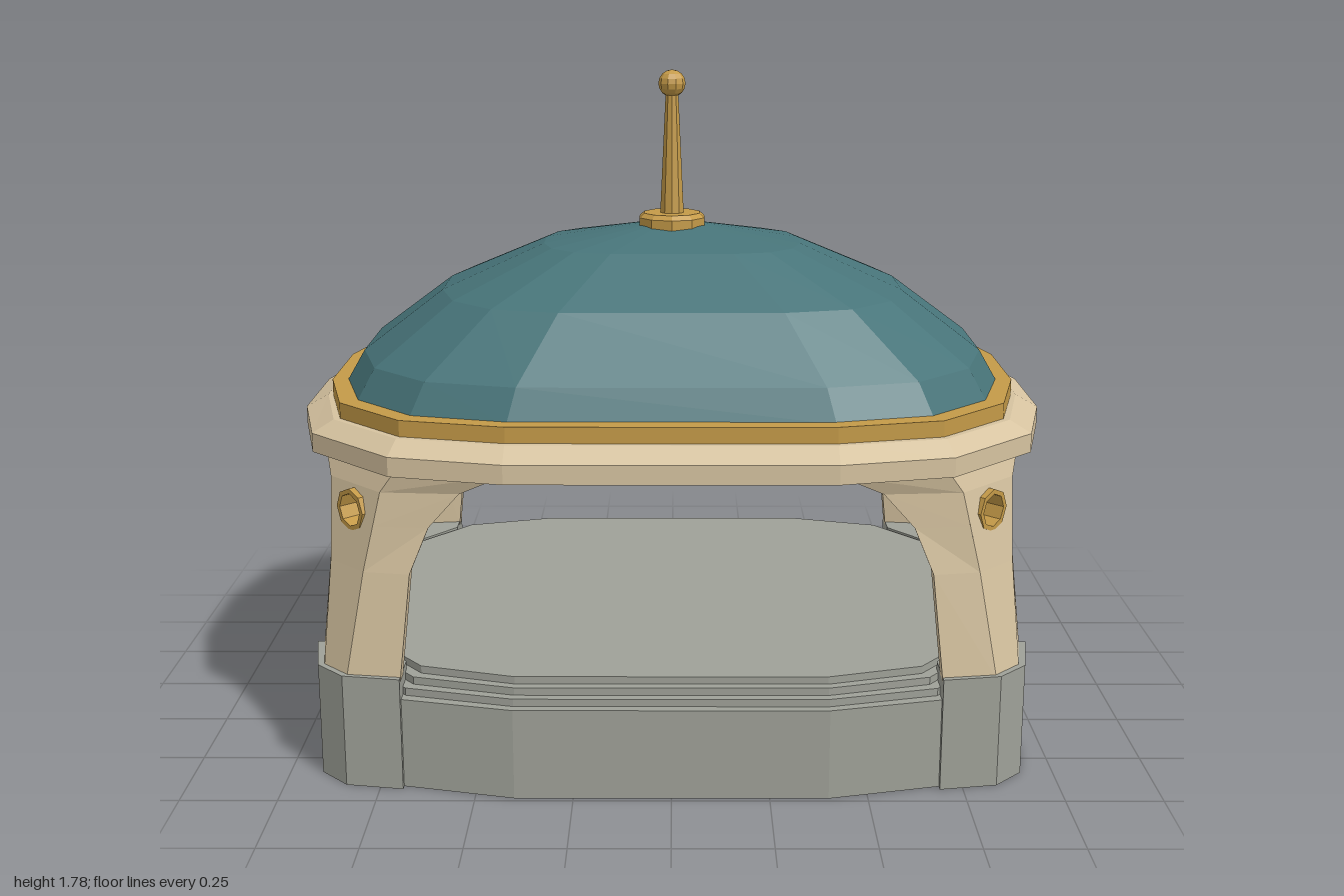
import * as THREE from 'three';

const mat = (name, color) => Object.assign(new THREE.MeshStandardMaterial({ color }), { name });

// Flat-shaded geometry from a list of [x, y, z] corners
function facets(corners) {
  const g = new THREE.BufferGeometry();
  g.setAttribute('position', new THREE.Float32BufferAttribute(corners.flat(), 3));
  g.computeVertexNormals();
  return g;
}

function flat(g) {
  const f = g.index ? g.toNonIndexed() : g;
  f.computeVertexNormals();
  return f;
}

// Full plan loop from the [x, z] points of one quarter (front side to flank)
function plan(q) {
  const r = [...q].reverse();
  const m = (pts, sx, sz) => pts.map(([x, z]) => [x * sx, z * sz]);
  return [...m(r, 1, 1), ...m(q, -1, 1), ...m(r, -1, -1), ...m(q, 1, -1)];
}

// Joins stacked loops of [x, z] points; rings are [y, loop]
function loft(rings, capped = true, skip = () => false) {
  const out = [];
  const at = ([y, pts], i) => [pts[i % pts.length][0], y, pts[i % pts.length][1]];
  const n = rings[0][1].length;
  for (let k = 0; k < rings.length - 1; k++) {
    for (let i = 0; i < n; i++) {
      if (skip(k, i)) continue;
      const a = at(rings[k], i), b = at(rings[k + 1], i);
      const c = at(rings[k + 1], i + 1), d = at(rings[k], i + 1);
      out.push(a, b, c, a, c, d);
    }
  }
  if (capped) {
    const lo = rings[0], hi = rings[rings.length - 1];
    const mid = ([y, pts]) => [
      pts.reduce((s, p) => s + p[0], 0) / n, y, pts.reduce((s, p) => s + p[1], 0) / n];
    for (let i = 0; i < n; i++) {
      out.push(mid(hi), at(hi, i + 1), at(hi, i));
      out.push(mid(lo), at(lo, i), at(lo, i + 1));
    }
  }
  return facets(out);
}

// Mirrored copy of a flat geometry, with the winding kept outward
function mirrored(g, sx, sz) {
  const p = g.attributes.position, out = [];
  for (let i = 0; i < p.count; i += 3) {
    const order = sx * sz < 0 ? [i, i + 2, i + 1] : [i, i + 1, i + 2];
    for (const j of order) out.push([p.getX(j) * sx, p.getY(j), p.getZ(j) * sz]);
  }
  return facets(out);
}

// Pillar levels: y, arch edge A, flank edge D, diagonal facet centre x and half width
const LEVELS = [
  { y: 0.29, A: [0.69, 0.67], D: [0.93, 0.42], m: 0.865, h: 0.035 },
  { y: 0.57, A: [0.66, 0.65], D: [0.903, 0.395], m: 0.83, h: 0.05 },
  { y: 0.69, A: [0.61, 0.64], D: [0.89, 0.355], m: 0.8157, h: 0.0643 },
  { y: 0.78, A: [0.53, 0.645], D: [0.893, 0.28], m: 0.805, h: 0.075 },
  { y: 0.837, A: [0.41, 0.675], D: [0.925, 0.155], m: 0.7925, h: 0.1025 },
];
const OFF = 0.25;    // x - z along the pillar's diagonal
const HOLE_Y = 0.715;

function pillarSection({ y, A, D, m, h }) {
  const B = [m - h, m - OFF + h], C = [m + h, m - OFF - h];
  return [y, [D, C, B, A,
    [A[0], A[1] - 0.05], [B[0] - 0.02, B[1] - 0.045],
    [C[0] - 0.045, C[1] - 0.02], [D[0] - 0.05, D[1]]]];
}

// Diagonal facet pierced by an octagonal hole
function piercedPanel(inner) {
  const lo = LEVELS[1], hi = LEVELS[3];
  const dm = inner ? -0.0325 : 0, dh = inner ? -0.0125 : 0;
  const a = lo.h + dh, b = hi.h + dh;
  const shape = new THREE.Shape([[-a, lo.y], [a, lo.y], [b, hi.y], [-b, hi.y]]
    .map(p => new THREE.Vector2(...p)));
  const hole = [];
  for (let i = 0; i < 8; i++) {
    const t = i * Math.PI / 4;
    hole.push(new THREE.Vector2(0.049 * Math.SQRT1_2 * Math.sin(t), HOLE_Y + 0.049 * Math.cos(t)));
  }
  shape.holes.push(new THREE.Path(hole));
  const p = new THREE.ShapeGeometry(shape).toNonIndexed().attributes.position;
  const out = [];
  for (let i = 0; i < p.count; i += 3) {
    for (const j of inner ? [i, i + 2, i + 1] : [i, i + 1, i + 2]) {
      const s = p.getX(j), y = p.getY(j);
      const m = lo.m + (hi.m - lo.m) * (y - lo.y) / (hi.y - lo.y) + dm;
      out.push([m + s, y, m - OFF - s]);
    }
  }
  return facets(out);
}

export function createModel() {
  const model = new THREE.Group();
  model.name = 'pavilion';
  const stone = mat('greyStone', 0x9fa198);
  const sand = mat('sandstone', 0xd6c3a0);
  const gold = mat('gold', 0xc49a48);
  const teal = mat('tealRoof', 0x477479);
  const add = (name, geo, material, parent = model) => {
    const mesh = new THREE.Mesh(geo, material);
    mesh.name = name;
    parent.add(mesh);
    return mesh;
  };

  // Platform with three shallow steps
  const platform = d => plan([[0.40, 0.736 - d], [0.70 - d * 0.7, 0.665 - d],
    [0.89 - d, 0.44 - d * 0.7], [0.935 - d, 0.16]]);
  const steps = [];
  [0.24, 0.26, 0.28, 0.30].forEach((y, i) => {
    const loop = platform(i * 0.025);
    steps.push([i ? y - 0.02 : 0, loop], [y, loop]);
  });
  add('platform', loft(steps), stone);

  // Four corner pedestals and pierced pillars
  const foot = [[0.947, 0.422], [0.915, 0.585], [0.84, 0.66], [0.69, 0.685], [0.69, 0.56], [0.80, 0.422]];
  const pedestal = loft([[0, foot], [0.301, foot]]);
  const shaft = loft(LEVELS.map(pillarSection), false,
    (k, i) => (k === 1 || k === 2) && (i === 1 || i === 5));
  const outerPanel = piercedPanel(false), innerPanel = piercedPanel(true);

  // Gold sleeve lining the hole
  const sleeve = new THREE.LatheGeometry([[0.043, -0.031], [0.056, -0.031], [0.056, 0.031],
    [0.043, 0.031], [0.043, -0.031]].map(p => new THREE.Vector2(...p)), 8);
  sleeve.rotateX(Math.PI / 2).rotateY(Math.PI / 4).translate(0.797, HOLE_Y, 0.547);
  const ring = flat(sleeve);

  for (const sx of [1, -1]) {
    for (const sz of [1, -1]) {
      const corner = new THREE.Group();
      corner.name = (sz > 0 ? 'front' : 'back') + (sx > 0 ? 'Left' : 'Right') + 'Pillar';
      model.add(corner);
      add('pedestal', mirrored(pedestal, sx, sz), stone, corner);
      add('shaft', mirrored(shaft, sx, sz), sand, corner);
      add('outerPanel', mirrored(outerPanel, sx, sz), sand, corner);
      add('innerPanel', mirrored(innerPanel, sx, sz), sand, corner);
      add('holeRing', mirrored(ring, sx, sz), gold, corner);
    }
  }

  // Cornice with a sloping top
  const eave = plan([[0.41, 0.75], [0.70, 0.68], [0.93, 0.45], [1, 0.165]]);
  const eaveTop = plan([[0.41, 0.69], [0.685, 0.625], [0.875, 0.435], [0.94, 0.16]]);
  add('cornice', loft([[0.835, eave], [0.885, eave], [0.918, eaveTop]]), sand);

  // Gold band under the dome
  const band = plan([[0.41, 0.672], [0.68, 0.607], [0.86, 0.425], [0.927, 0.16]]);
  add('roofBand', loft([[0.91, band], [0.96, band]]), gold);

  // Faceted dome: the same plan shrinking upward
  const base = plan([[0.41, 0.625], [0.66, 0.56], [0.82, 0.395], [0.887, 0.155]]);
  const dome = [[0.955, 1], [1.04, 0.945], [1.20, 0.705], [1.32, 0.395], [1.365, 0.1]];
  add('dome', loft(dome.map(([y, s]) => [y, base.map(([x, z]) => [x * s, z * s])])), teal);

  // Finial: collar, tapering spike and ball
  const finial = new THREE.Group();
  finial.name = 'finial';
  model.add(finial);
  const collar = [[0, 1.35], [0.094, 1.35], [0.094, 1.385], [0.08, 1.397], [0, 1.397]];
  add('collar', flat(new THREE.LatheGeometry(collar.map(p => new THREE.Vector2(...p)), 10)), gold, finial);
  add('spike', flat(new THREE.CylinderGeometry(0.018, 0.034, 0.33, 10)), gold, finial).position.y = 1.56;
  add('ball', flat(new THREE.SphereGeometry(0.037, 10, 8)), gold, finial).position.y = 1.748;

  return model;
}
